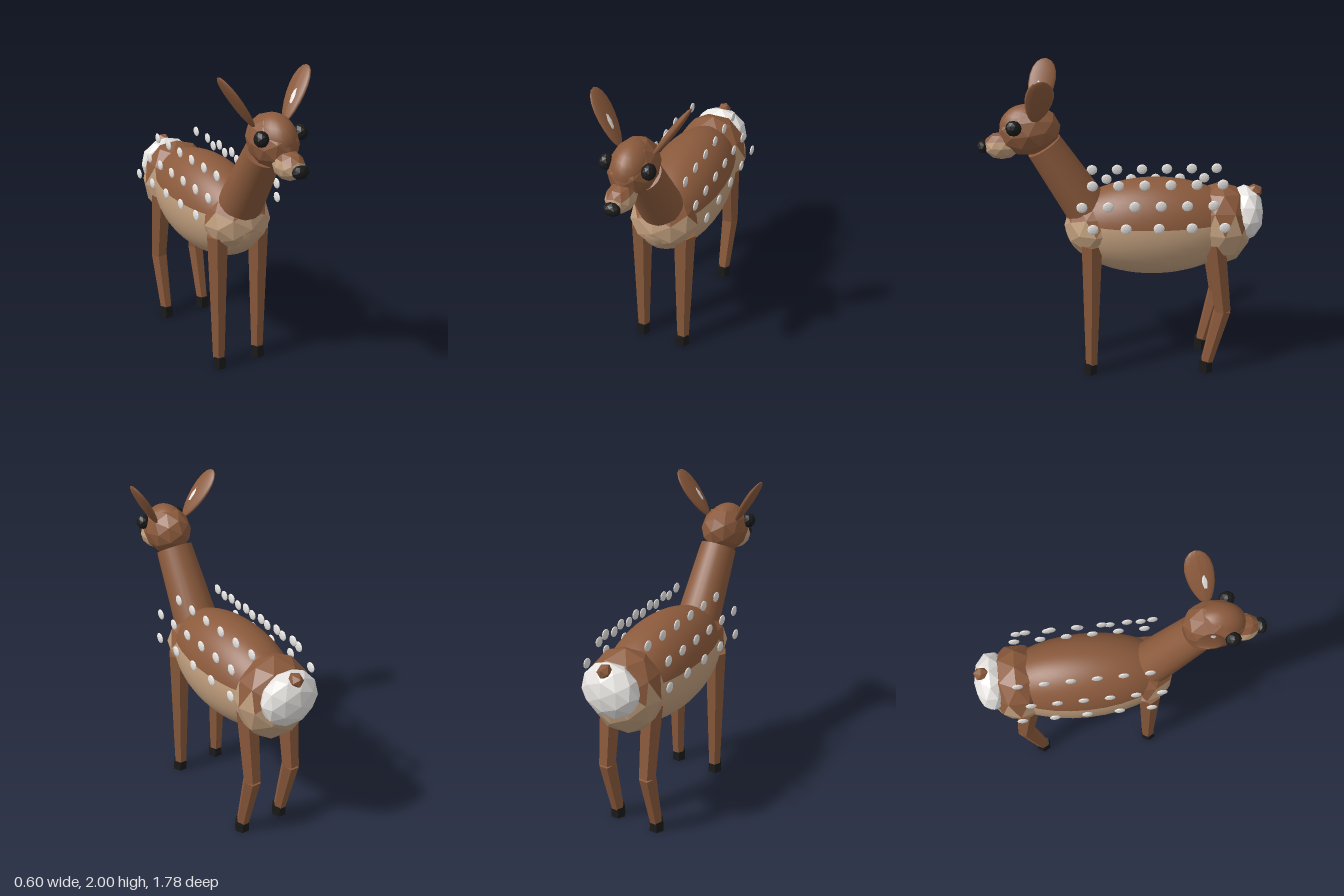
import * as THREE from 'three';

const paint = (name, color) => {
  const m = new THREE.MeshStandardMaterial({ color });
  m.name = name;
  return m;
};

export function createModel() {
  const root = new THREE.Group();
  root.name = 'deer';
  const brown = paint('brownCoat', 0x8b5a3c);
  const tan = paint('tanBelly', 0xbf9d7c);
  const white = paint('paleFur', 0xe6e3e0);
  const black = paint('black', 0x1a1a1a);

  const add = (name, geo, mat, p = [0, 0, 0], parent = root) => {
    const m = new THREE.Mesh(geo, mat);
    m.name = name;
    m.position.set(...p);
    parent.add(m);
    return m;
  };
  // Faceted ellipsoid with hard edges
  const rock = (r, detail = 1) => {
    const g = new THREE.IcosahedronGeometry(1, detail).scale(...r);
    g.computeVertexNormals();
    return g;
  };
  // Faceted ellipsoid: faces above the split height use the first material, others the second
  const twoTone = (name, r, p, split, upper = brown, lower = tan) => {
    const g = rock(r), y = g.attributes.position;
    for (let i = 0; i < y.count; i += 3) {
      const mid = (y.getY(i) + y.getY(i + 1) + y.getY(i + 2)) / 3 + p[1];
      g.addGroup(i, 3, mid > split ? 0 : 1);
    }
    return add(name, g, [upper, lower], p);
  };
  // Tapered tube between two points; six flat sides, or smooth with more
  const limb = (name, a, b, ra, rb, mat, sides = 6) => {
    const A = new THREE.Vector3(...a), B = new THREE.Vector3(...b);
    const d = B.clone().sub(A);
    let g = new THREE.CylinderGeometry(rb, ra, d.length(), sides, 1, false, Math.PI / 2);
    if (sides < 10) {
      g = g.toNonIndexed();
      g.computeVertexNormals();
    }
    const m = add(name, g, mat, A.add(B).multiplyScalar(0.5).toArray());
    m.quaternion.setFromUnitVectors(new THREE.Vector3(0, 1, 0), d.normalize());
    return m;
  };

  // Smooth barrel, split into back and belly
  const cut = Math.acos(0.07 / 0.315);
  for (const [name, mat, t0, t1] of [['back', brown, 0, cut], ['belly', tan, cut, Math.PI - cut]]) {
    const g = new THREE.SphereGeometry(1, 32, 12, 0, Math.PI * 2, t0, t1).scale(0.26, 0.315, 0.565);
    add(name, g, mat, [0, 0.99, -0.2]);
  }

  // Chest, haunches, pale rump and tail
  twoTone('chest', [0.22, 0.2, 0.2], [0, 1.0, 0.17], 1.06);
  twoTone('haunches', [0.24, 0.27, 0.205], [0, 1.0, -0.62], 1.05);
  add('rump', rock([0.19, 0.175, 0.115]), white, [0, 1.07, -0.775]);
  add('tail', rock([0.045, 0.045, 0.055], 0), brown, [0, 1.215, -0.825]);

  // Neck and head
  limb('neck', [0, 1.08, 0.2], [0, 1.53, 0.48], 0.142, 0.115, brown, 24);
  const head = add('head', rock([0.14, 0.155, 0.19]), brown, [0, 1.63, 0.565]);
  head.rotation.x = 0.15;
  add('crown', new THREE.SphereGeometry(1, 20, 14).scale(0.118, 0.145, 0.165), brown, [0, 1.645, 0.58]);
  twoTone('muzzle', [0.085, 0.085, 0.11], [0, 1.535, 0.735], 1.575);
  add('nose', rock([0.052, 0.04, 0.036]), black, [0, 1.53, 0.85]);

  for (const s of [1, -1]) {
    const side = s > 0 ? 'left' : 'right';
    add(side + 'Eye', rock([0.042, 0.048, 0.048]), black, [s * 0.127, 1.68, 0.65]);

    // Leaf-shaped ear, narrower at its base, with a pale inner patch
    const ear = new THREE.Group();
    ear.name = side + 'Ear';
    ear.position.set(s * 0.193, 1.855, 0.495);
    ear.rotation.set(-0.2, 0, -s * 0.57, 'ZXY');
    root.add(ear);
    const shell = new THREE.SphereGeometry(1, 12, 10);
    const v = shell.attributes.position;
    for (let i = 0; i < v.count; i++) v.setZ(i, v.getZ(i) * (1 + 0.25 * v.getY(i)));
    shell.scale(0.022, 0.178, 0.08);
    shell.computeVertexNormals();
    add(side + 'EarShell', shell, brown, [0, 0, 0], ear);
    add(side + 'EarInner', rock([0.02, 0.085, 0.03]), white, [-s * 0.004, -0.02, 0.012], ear);

    // Straight front leg, bent back leg, hooves
    const x = s * 0.145;
    limb(side + 'FrontLeg', [x, 0.07, 0.212], [x, 0.93, 0.198], 0.043, 0.073, brown);
    limb(side + 'BackThigh', [x, 0.45, -0.638], [x, 0.93, -0.57], 0.057, 0.073, brown);
    limb(side + 'BackShin', [x, 0.07, -0.55], [x, 0.455, -0.638], 0.041, 0.057, brown);
    for (const [name, z] of [['FrontHoof', 0.22], ['BackHoof', -0.543]])
      limb(side + name, [x, 0, z], [x, 0.08, z], 0.05, 0.045, black);

    // Three rows of flank spots: [x, y, first z, spacing, count]
    const spot = rock([0.01, 0.034, 0.034]);
    for (const [sx, y, z, step, n] of [
      [0.145, 1.315, 0.19, 0.159, 6],
      [0.24, 1.215, 0.255, 0.159, 6],
      [0.288, 1.09, 0.19, 0.199, 5],
    ])
      for (let i = 0; i < n; i++) add(side + 'Spot', spot, white, [s * sx, y, z - step * i]);
  }
  return root;
}
